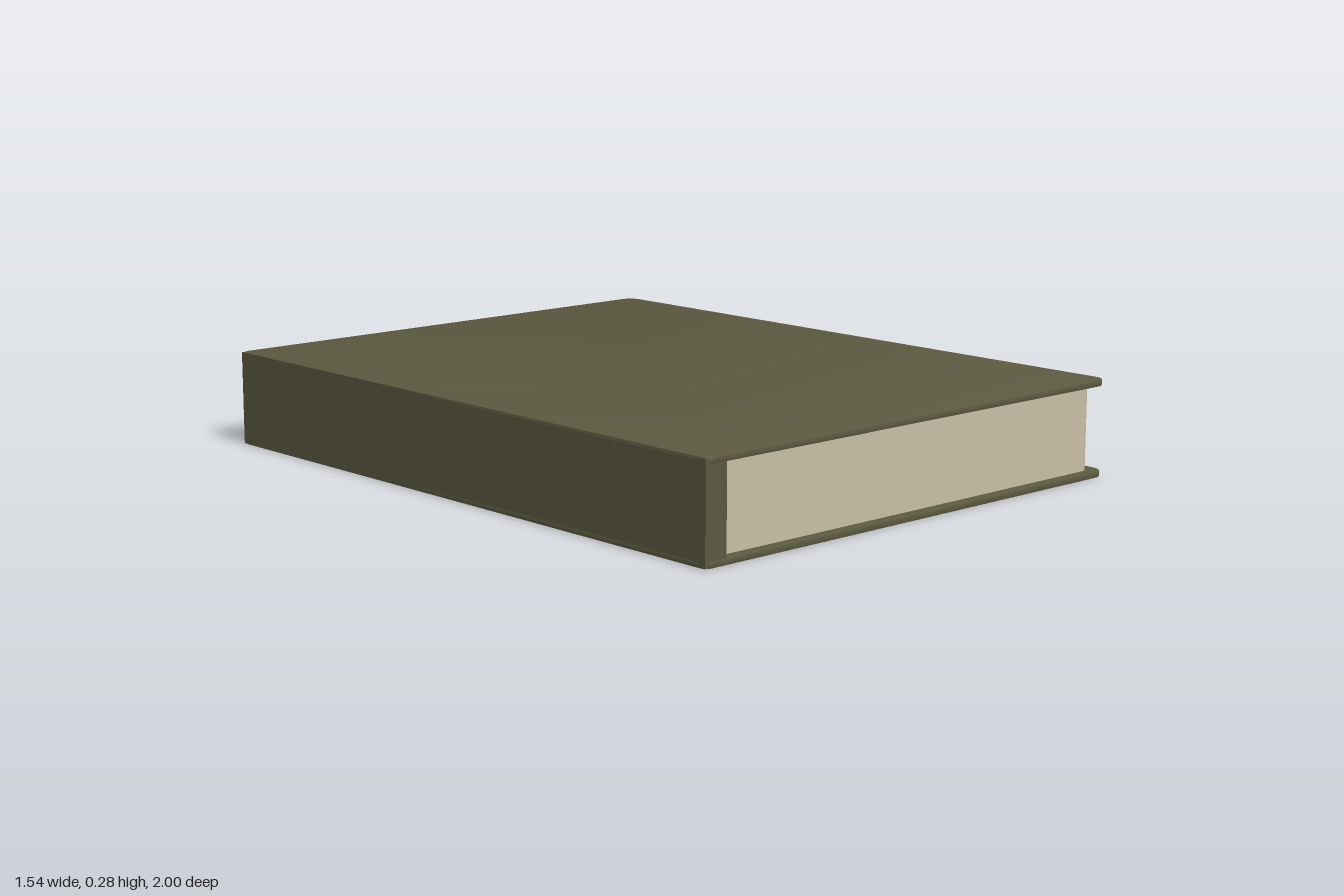
import * as THREE from 'three';
import { toCreasedNormals } from 'three/addons/utils/BufferGeometryUtils.js';

// Rectangular slab lying flat, with its own corner radius on the left (-x) and right (+x)
function slab(x0, x1, halfZ, y0, y1, rLeft, rRight, bevel) {
  const a = x0 + bevel, b = x1 - bevel, h = halfZ - bevel;
  const s = new THREE.Shape();
  s.moveTo(a + rLeft, -h);
  s.lineTo(b - rRight, -h);
  s.absarc(b - rRight, -h + rRight, rRight, -Math.PI / 2, 0, false);
  s.absarc(b - rRight, h - rRight, rRight, 0, Math.PI / 2, false);
  s.lineTo(a + rLeft, h);
  if (rLeft > 0) {
    s.absarc(a + rLeft, h - rLeft, rLeft, Math.PI / 2, Math.PI, false);
    s.absarc(a + rLeft, -h + rLeft, rLeft, Math.PI, Math.PI * 1.5, false);
  }
  const geo = new THREE.ExtrudeGeometry(s, {
    depth: y1 - y0 - 2 * bevel, curveSegments: 10,
    bevelEnabled: bevel > 0, bevelSize: bevel, bevelThickness: bevel, bevelSegments: 2,
  });
  geo.rotateX(-Math.PI / 2);
  geo.translate(0, y0 + bevel, 0);
  return toCreasedNormals(geo, 0.6);
}

export function createModel() {
  const coverMat = new THREE.MeshStandardMaterial({ color: 0x5c5940 });
  coverMat.name = 'olive cover';
  const paperMat = new THREE.MeshStandardMaterial({ color: 0xc8bfa5 });
  paperMat.name = 'cream paper';

  const book = new THREE.Group();
  book.name = 'book';
  const add = (name, geo, mat) => {
    const mesh = new THREE.Mesh(geo, mat);
    mesh.name = name;
    book.add(mesh);
  };

  // Two thin boards with rounded outer corners
  add('bottomCover', slab(-0.772, 0.772, 1, 0, 0.018, 0.02, 0.04, 0.003), coverMat);
  add('topCover', slab(-0.772, 0.772, 1, 0.26, 0.278, 0.02, 0.04, 0.003), coverMat);

  // Solid square-edged spine between the boards
  add('spine', slab(-0.772, -0.698, 0.998, 0.002, 0.276, 0, 0.004, 0), coverMat);

  // Page block, set in from the boards
  add('pages', slab(-0.71, 0.74, 0.97, 0.017, 0.261, 0, 0.035, 0), paperMat);

  return book;
}
